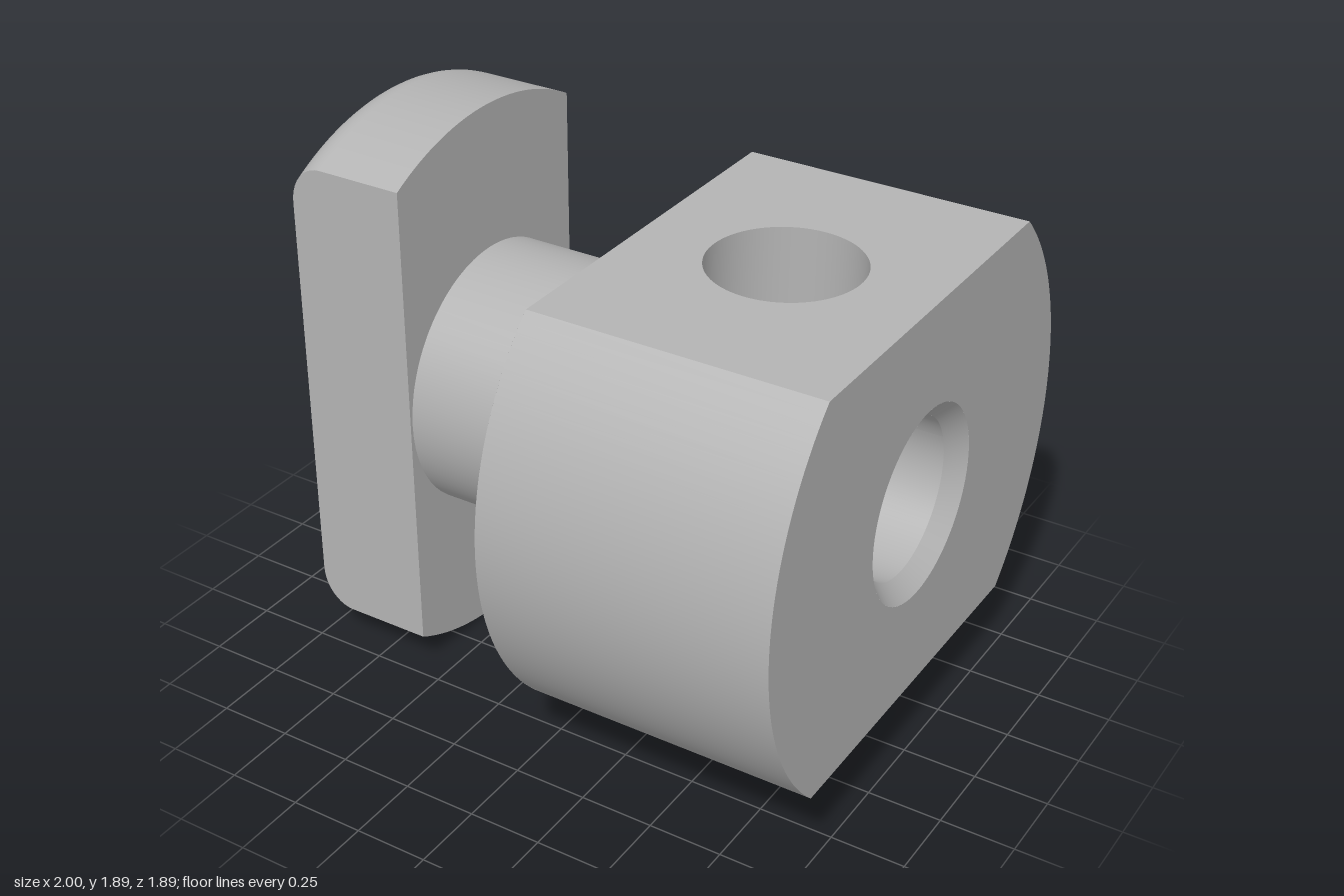
import * as THREE from 'three';

// Everything is built around the x axis, then lifted so it stands on y = 0
const R = 0.943;                       // outer radius of body and head
const FLAT = 0.682;                    // body flats at y = +-FLAT
const HEAD_HALF = 0.46;                // head sides at z = +-HEAD_HALF
const BORE = 0.267, MOUTH = 0.325, CROSS = 0.25, CROSS_X = 0.505, NECK = 0.45;
const X0 = -1, X1 = -0.585, X2 = 0.015, X3 = 1, FILLET = 0.115;

export function createModel() {
  const group = new THREE.Group();
  const steel = new THREE.MeshStandardMaterial({ color: 0xb3b3b3, side: THREE.DoubleSide });
  steel.name = 'grey steel';

  const add = (name, geometry) => {
    const mesh = new THREE.Mesh(geometry, steel);
    mesh.name = name;
    group.add(mesh);
  };

  // Surface from a rule f(u, v), facing du x dv
  const surface = (nu, nv, f) => {
    const g = new THREE.PlaneGeometry(1, 1, nu, nv), p = g.attributes.position;
    for (let i = 0; i < p.count; i++) p.setXYZ(i, ...f(p.getX(i) + 0.5, p.getY(i) + 0.5));
    g.computeVertexNormals();
    return g;
  };
  const ring = (x, r, t) => [x, r * Math.cos(t), r * Math.sin(t)];
  const mix = THREE.MathUtils.lerp;

  // Disc with two flats at y = +-h and a round hole
  const flattedDisc = (r, h, hole) => {
    const b = Math.asin(h / r), s = new THREE.Shape();
    s.absarc(0, 0, r, -b, b, false);
    s.absarc(0, 0, r, Math.PI - b, Math.PI + b, false);
    s.holes.push(new THREE.Path().absarc(0, 0, hole, 0, Math.PI * 2, true));
    return new THREE.ShapeGeometry(s, 48);
  };

  // Body: end faces, round sides, flats
  add('bodyEndFace', flattedDisc(R, FLAT, MOUTH).rotateY(Math.PI / 2).translate(X3, 0, 0));
  add('bodyInnerFace', flattedDisc(R, FLAT, NECK).rotateY(-Math.PI / 2).translate(X2, 0, 0));
  const tFlat = Math.acos(FLAT / R);
  for (const [name, start] of [['bodyFrontSide', tFlat], ['bodyBackSide', tFlat + Math.PI]]) {
    add(name, surface(40, 1, (u, v) => ring(mix(X2, X3, v), R, start + u * (Math.PI - 2 * tFlat))));
  }
  const zFlat = Math.sqrt(R * R - FLAT * FLAT);
  const top = new THREE.Shape([[X2, -zFlat], [X3, -zFlat], [X3, zFlat], [X2, zFlat]]
    .map(([x, y]) => new THREE.Vector2(x, y)));
  const bottom = top.clone();
  top.holes.push(new THREE.Path().absarc(CROSS_X, 0, CROSS, 0, Math.PI * 2, true));
  add('bodyTopFlat', new THREE.ShapeGeometry(top, 48).rotateX(-Math.PI / 2).translate(0, FLAT, 0));
  add('bodyBottomFlat', new THREE.ShapeGeometry(bottom).rotateX(Math.PI / 2).translate(0, -FLAT, 0));

  // Neck between body and head
  add('neck', new THREE.CylinderGeometry(NECK, NECK, X2 - X1, 64, 1, true)
    .rotateZ(Math.PI / 2).translate((X1 + X2) / 2, 0, 0));

  // Head: flat faces
  add('headOuterFace', flattedDisc(R - FILLET, HEAD_HALF, BORE)
    .rotateZ(Math.PI / 2).rotateY(-Math.PI / 2).translate(X0, 0, 0));
  add('headInnerFace', flattedDisc(R, HEAD_HALF, NECK)
    .rotateZ(Math.PI / 2).rotateY(Math.PI / 2).translate(X1, 0, 0));

  // Head: rounded ends, following a filleted profile of [x, radius]
  const profile = [];
  for (let i = 0; i <= 10; i++) {
    const a = (i / 10) * Math.PI / 2;
    profile.push([X0 + FILLET * (1 - Math.cos(a)), R - FILLET * (1 - Math.sin(a))]);
  }
  profile.push([X1, R]);
  const height = (r, z) => Math.sqrt(r * r - z * z);
  const last = profile.length - 1;
  const headEnd = surface(32, last, (u, v) => {
    const [x, r] = profile[Math.round(v * last)], z = mix(-HEAD_HALF, HEAD_HALF, u);
    return [x, height(r, z), z];
  });
  add('headTopEnd', headEnd);
  add('headBottomEnd', headEnd.clone().rotateX(Math.PI));

  // Head: straight sides
  const edge = profile.map(([x, r]) => new THREE.Vector2(x, height(r, HEAD_HALF)));
  const mirrored = edge.map(p => new THREE.Vector2(p.x, -p.y)).reverse();
  const headSide = new THREE.ShapeGeometry(new THREE.Shape([...edge, ...mirrored]))
    .translate(0, 0, HEAD_HALF);
  add('headFrontSide', headSide);
  add('headBackSide', headSide.clone().rotateX(Math.PI));

  // Long bore, opened at the top where the cross hole meets it
  const boreEnd = X3 - (MOUTH - BORE);
  const tMax = Math.asin(CROSS / BORE);
  add('boreWall', surface(1, 64, (u, v) =>
    ring(mix(X0, boreEnd, u), BORE, mix(tMax, 2 * Math.PI - tMax, v))));
  for (const [name, from, sign] of [['boreTopLeft', X0, -1], ['boreTopRight', boreEnd, 1]]) {
    add(name, surface(1, 48, (u, v) => {
      const a = (v - 0.5) * Math.PI, t = Math.asin(CROSS * Math.sin(a) / BORE);
      const cut = CROSS_X + sign * CROSS * Math.cos(a);
      return ring(sign < 0 ? mix(from, cut, u) : mix(cut, from, u), BORE, t);
    }));
  }
  add('boreChamfer', surface(1, 64, (u, v) =>
    ring(mix(boreEnd, X3, u), mix(BORE, MOUTH, u), v * Math.PI * 2)));

  // Cross hole from the top flat down to the bore
  add('crossHole', surface(96, 1, (u, v) => {
    const a = u * Math.PI * 2, z = CROSS * Math.sin(a);
    return [CROSS_X + CROSS * Math.cos(a), mix(height(BORE, z), FLAT, v), z];
  }));

  group.position.y = R;
  const model = new THREE.Group();
  model.name = 'slottedFastener';
  group.name = 'fastener';
  model.add(group);
  return model;
}
